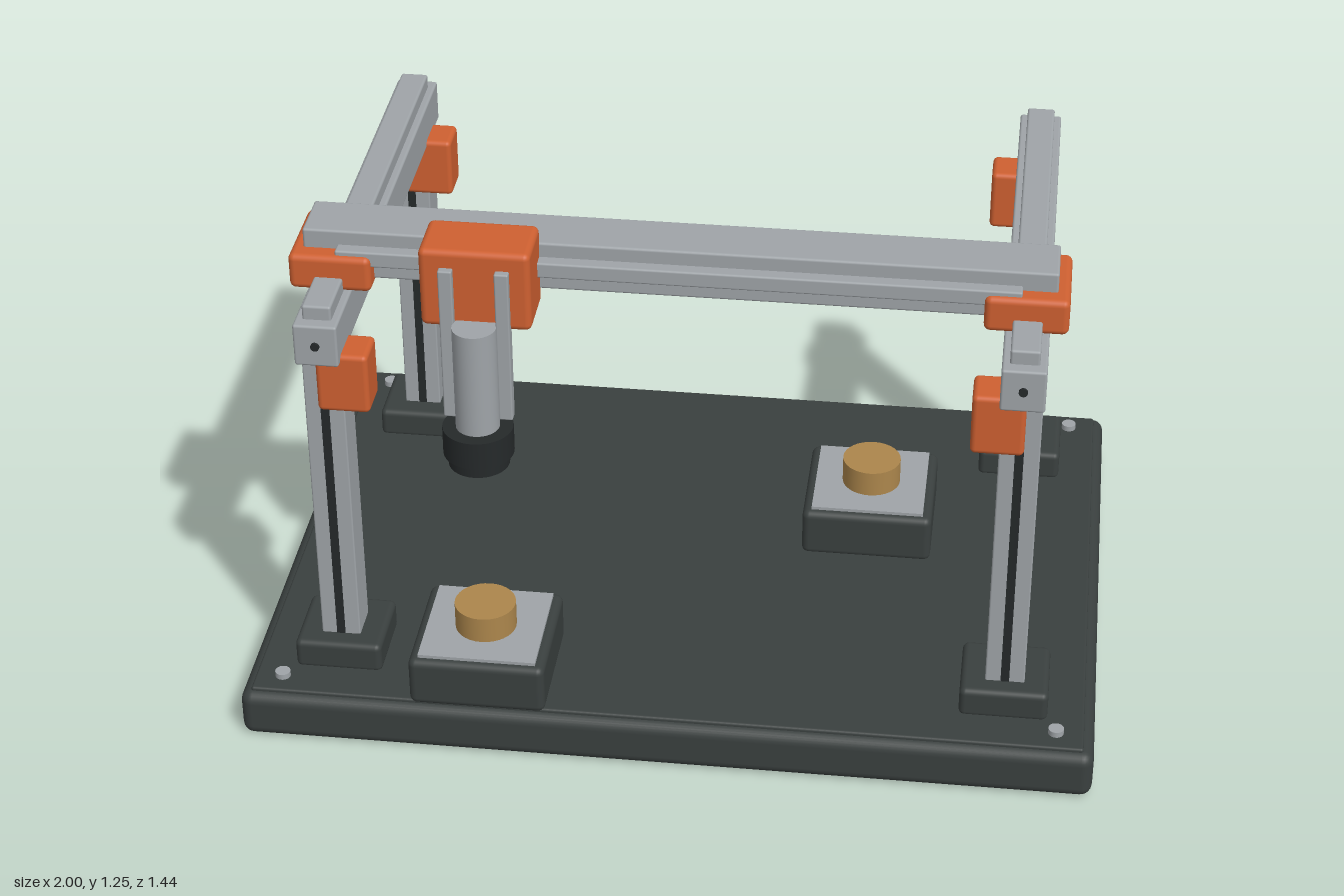
import * as THREE from 'three';
import { RoundedBoxGeometry } from 'three/addons/geometries/RoundedBoxGeometry.js';

const mat = (name, color) => {
  const m = new THREE.MeshStandardMaterial({ color });
  m.name = name;
  return m;
};

export function createModel() {
  const dark = mat('charcoal', 0x3a403f);
  const black = mat('black', 0x25292a);
  const grey = mat('aluminium', 0x9fa4a8);
  const orange = mat('orange', 0xce6031);
  const brass = mat('brass', 0xac864c);

  const root = new THREE.Group();
  root.name = 'gantryMachine';

  // Box given by its min and max on each axis, with optional rounded edges
  const box = (name, m, [x0, x1], [y0, y1], [z0, z1], r = 0, parent = root) => {
    const w = x1 - x0, h = y1 - y0, d = z1 - z0;
    const g = r ? new RoundedBoxGeometry(w, h, d, 3, r) : new THREE.BoxGeometry(w, h, d);
    const mesh = new THREE.Mesh(g, m);
    mesh.name = name;
    mesh.position.set((x0 + x1) / 2, (y0 + y1) / 2, (z0 + z1) / 2);
    parent.add(mesh);
    return mesh;
  };
  // Upright cylinder
  const cyl = (name, m, x, z, r, y0, y1, parent = root) => {
    const mesh = new THREE.Mesh(new THREE.CylinderGeometry(r, r, y1 - y0, 32), m);
    mesh.name = name;
    mesh.position.set(x, (y0 + y1) / 2, z);
    parent.add(mesh);
    return mesh;
  };
  const around = (c, half) => [c - half, c + half];
  const mirror = (s, a, b) => (s > 0 ? [a, b] : [-b, -a]);

  // Base slab and deck
  box('base', dark, [-1, 1], [0, 0.12], [-0.722, 0.722], 0.028);
  box('deck', dark, [-0.975, 0.975], [0.1, 0.128], [-0.7, 0.7], 0.006);

  for (const s of [-1, 1]) {
    const side = new THREE.Group();
    side.name = s > 0 ? 'leftFrame' : 'rightFrame';
    root.add(side);
    const cx = s * 0.785;

    for (const f of [-1, 1]) {
      const cz = f * 0.508;
      // Corner screws
      cyl('cornerScrew', grey, s * 0.91, f * 0.645, 0.018, 0.12, 0.142, side);
      // Foot, post and its front slot
      box('foot', dark, around(cx, 0.103), [0.12, 0.197], around(f * 0.503, 0.098), 0.015, side);
      box('post', grey, around(cx, 0.046), [0.19, 0.975], around(cz, 0.046), 0.004, side);
      box('postSlot', black, around(cx, 0.01), [0.197, 0.97], [cz + 0.043, cz + 0.0475], 0, side);
      // Corner bracket
      box('bracket', orange, mirror(s, 0.675, 0.795), [0.84, 0.99], around(cz + 0.022, 0.05), 0.012, side);
      // Rail end bolt
      const bolt = cyl('endBolt', black, cx, f * 0.6, 0.01, 1.019, 1.031, side);
      bolt.rotation.x = Math.PI / 2;
    }
    // Long beam with its guide rail
    box('sideBeam', grey, around(cx, 0.05), [0.972, 1.076], [-0.6, 0.6], 0.006, side);
    box('guideRail', grey, around(cx, 0.033), [1.07, 1.11], [-0.57, 0.57], 0.006, side);
    // Sliding carriage
    box('carriage', orange, mirror(s, 0.688, 0.876), [1.075, 1.162], [0.222, 0.443], 0.015, side);
  }

  // Cross beam with front rail
  box('crossBeam', grey, [-0.848, 0.848], [1.09, 1.208], [0.267, 0.4], 0.006);
  box('crossRail', grey, [-0.77, 0.77], [1.135, 1.173], [0.395, 0.43], 0.005);
  box('crossSlot', black, [-0.77, 0.77], [1.128, 1.135], [0.398, 0.403]);

  // Tool head
  const head = new THREE.Group();
  head.name = 'toolHead';
  root.add(head);
  const hx = -0.434, hz = 0.552;
  box('headBlock', orange, around(hx, 0.125), [1.052, 1.247], [0.382, 0.528], 0.015, head);
  for (const s of [-1, 1]) {
    box('verticalRail', grey, around(hx + s * 0.063, 0.016), [0.825, 1.205], [0.515, 0.545], 0.004, head);
  }
  cyl('spindle', grey, hx, hz, 0.05, 0.8, 1.072, head);
  cyl('collar', black, hx, hz, 0.081, 0.745, 0.813, head);
  cyl('nozzle', black, hx, hz, 0.07, 0.715, 0.75, head);

  // Work fixtures
  for (const [x, z] of [[-0.435, 0.552], [0.42, -0.158]]) {
    const fixture = new THREE.Group();
    fixture.name = 'fixture';
    root.add(fixture);
    box('fixtureBlock', dark, around(x, 0.16), [0.12, 0.245], around(z, 0.156), 0.018, fixture);
    box('fixturePlate', grey, around(x, 0.138), [0.24, 0.253], around(z, 0.138), 0, fixture);
    cyl('workpiece', brass, x, z, 0.072, 0.25, 0.318, fixture);
  }
  return root;
}
